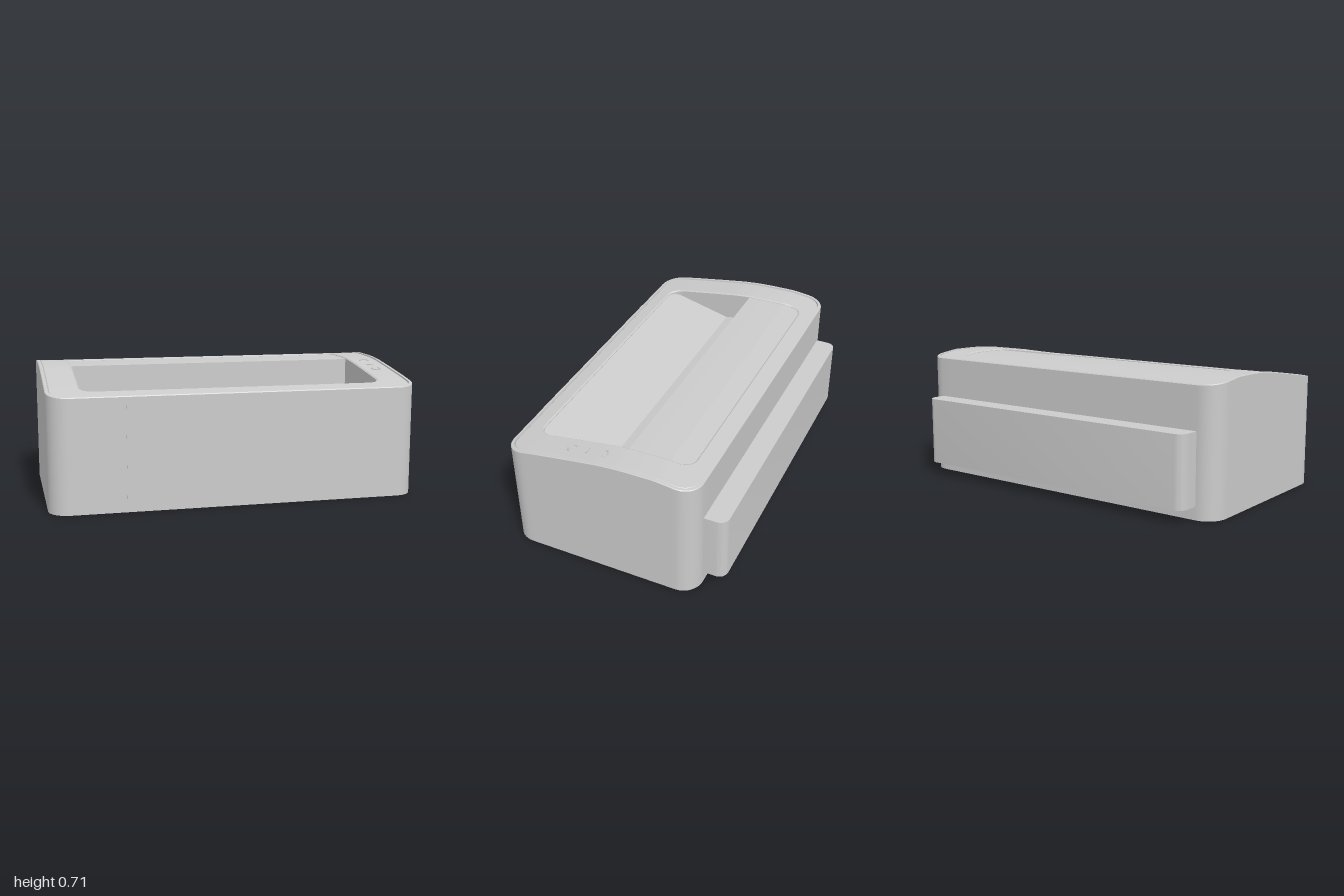
import * as THREE from 'three';
import { toCreasedNormals } from 'three/addons/utils/BufferGeometryUtils.js';

const material = new THREE.MeshStandardMaterial({ color: 0xcccccc, side: THREE.DoubleSide });

// Height of the curved top along z
const CROWN = [[-0.48, 0.68], [-0.27, 0.706], [-0.12, 0.705], [-0.04, 0.702], [0.05, 0.694],
  [0.2, 0.672], [0.4, 0.641], [0.6, 0.605]];
function crown(z) {
  let i = 1;
  while (i < CROWN.length - 1 && z > CROWN[i][0]) i++;
  const [a, b] = [CROWN[i - 1], CROWN[i]];
  return a[1] + (b[1] - a[1]) * (z - a[0]) / (b[0] - a[0]);
}

// Rounded rectangle ring in the xz plane; height is a function of z
function ring(hx, zBack, zFront, r, height) {
  const points = [], arc = 10, side = 32;
  const centres = [[hx - r, zBack + r], [r - hx, zBack + r], [r - hx, zFront - r], [hx - r, zFront - r]];
  const at = (k, t) => {
    const [cx, cz] = centres[k % 4], a = (k + t) * Math.PI / 2;
    return [cx + r * Math.cos(a), cz - r * Math.sin(a)];
  };
  for (let k = 0; k < 4; k++) {
    for (let i = 0; i < arc; i++) points.push(at(k, i / arc));
    const p = at(k, 1), q = at(k + 1, 0);
    for (let i = 0; i < side; i++) {
      const t = i / side;
      points.push([p[0] + (q[0] - p[0]) * t, p[1] + (q[1] - p[1]) * t]);
    }
  }
  return points.map(([x, z]) => [x, height(z), z]);
}

// Skin joining successive rings
function loft(rings) {
  const n = rings[0].length, index = [];
  for (let j = 0; j < rings.length - 1; j++) {
    for (let i = 0; i < n; i++) {
      const a = j * n + i, b = j * n + (i + 1) % n;
      index.push(a, b, b + n, a, b + n, a + n);
    }
  }
  const geometry = new THREE.BufferGeometry();
  geometry.setAttribute('position', new THREE.Float32BufferAttribute(rings.flat(2), 3));
  geometry.setIndex(index);
  return toCreasedNormals(geometry, 0.5);
}

export function createModel() {
  const model = new THREE.Group();
  const add = (name, geometry, parent = model) => {
    const mesh = new THREE.Mesh(geometry, material);
    mesh.name = name;
    parent.add(mesh);
    return mesh;
  };
  const drop = (d) => (z) => crown(z) - d;

  // Outer shell: closed bottom, rounded walls and a thin rim
  const inset = (d, height) => ring(1 - d, -0.48 + d, 0.598 - d, 0.11 - d, height);
  const base = inset(0, () => 0);
  add('shell', loft([
    base.map(() => [0, 0, 0.06]), base, inset(0, drop(0.004)), inset(0.004, drop(0)),
    inset(0.018, drop(0)), inset(0.02, drop(0.01)),
  ]));

  // Top frame around the opening, with a fine bevel and the opening's walls
  const hole = (d, height) => ring(0.82 - d, -0.38 + d, 0.49 - d, 0.07 - d, height);
  add('topFrame', loft([
    inset(0.02, drop(0.01)), inset(0.026, drop(0.004)), hole(-0.008, drop(0.004)),
    hole(0, drop(0.01)), hole(0, () => 0.49),
  ]));

  // Rear deck, upright step and shallow V-shaped tray inside the opening
  const profile = new THREE.Shape();
  profile.moveTo(-0.39, 0.45);
  profile.lineTo(0.495, 0.45);
  profile.lineTo(0.495, 0.612);
  profile.lineTo(0.11, 0.512);
  profile.lineTo(-0.04, 0.54);
  for (const z of [-0.04, -0.12, -0.2, -0.27, -0.33, -0.39]) profile.lineTo(z, crown(z) - 0.012);
  const tray = new THREE.ExtrudeGeometry(profile, { depth: 1.65, bevelEnabled: false });
  tray.translate(0, 0, -0.825).rotateY(-Math.PI / 2);
  add('deckAndTray', tray);

  // Flush front panel
  add('frontPanel', new THREE.BoxGeometry(1.2, 0.6, 0.01).translate(0, 0.301, 0.595));

  // Rear ledge with rounded outer corners
  const ledge = new THREE.Shape();
  ledge.moveTo(-0.89, 0.46);
  ledge.lineTo(0.89, 0.46);
  ledge.lineTo(0.89, 0.55);
  ledge.quadraticCurveTo(0.885, 0.595, 0.84, 0.6);
  ledge.lineTo(-0.84, 0.6);
  ledge.quadraticCurveTo(-0.885, 0.595, -0.89, 0.55);
  ledge.closePath();
  const ledgeGeometry = new THREE.ExtrudeGeometry(ledge, { depth: 0.38, bevelEnabled: false, curveSegments: 8 });
  add('rearLedge', toCreasedNormals(ledgeGeometry.rotateX(-Math.PI / 2).translate(0, 0.07, 0), 0.5));

  // Small raised control marks on the left of the frame
  const controls = new THREE.Group();
  controls.name = 'controls';
  model.add(controls);
  const mark = (name, geometry, z) => {
    const mesh = add(name, geometry, controls);
    mesh.position.set(0.9, crown(z) - 0.003, z);
    mesh.rotation.x = 0.14;
  };
  const arc = (sweep, turn) =>
    new THREE.TorusGeometry(0.024, 0.004, 6, 20, sweep).rotateZ(turn).rotateX(-Math.PI / 2);
  mark('arcMark', arc(Math.PI, 0), 0.06);
  mark('barMark', new THREE.BoxGeometry(0.04, 0.008, 0.007), 0.15);
  mark('ringMark', arc(Math.PI * 1.6, Math.PI * 0.7), 0.24);
  return model;
}
